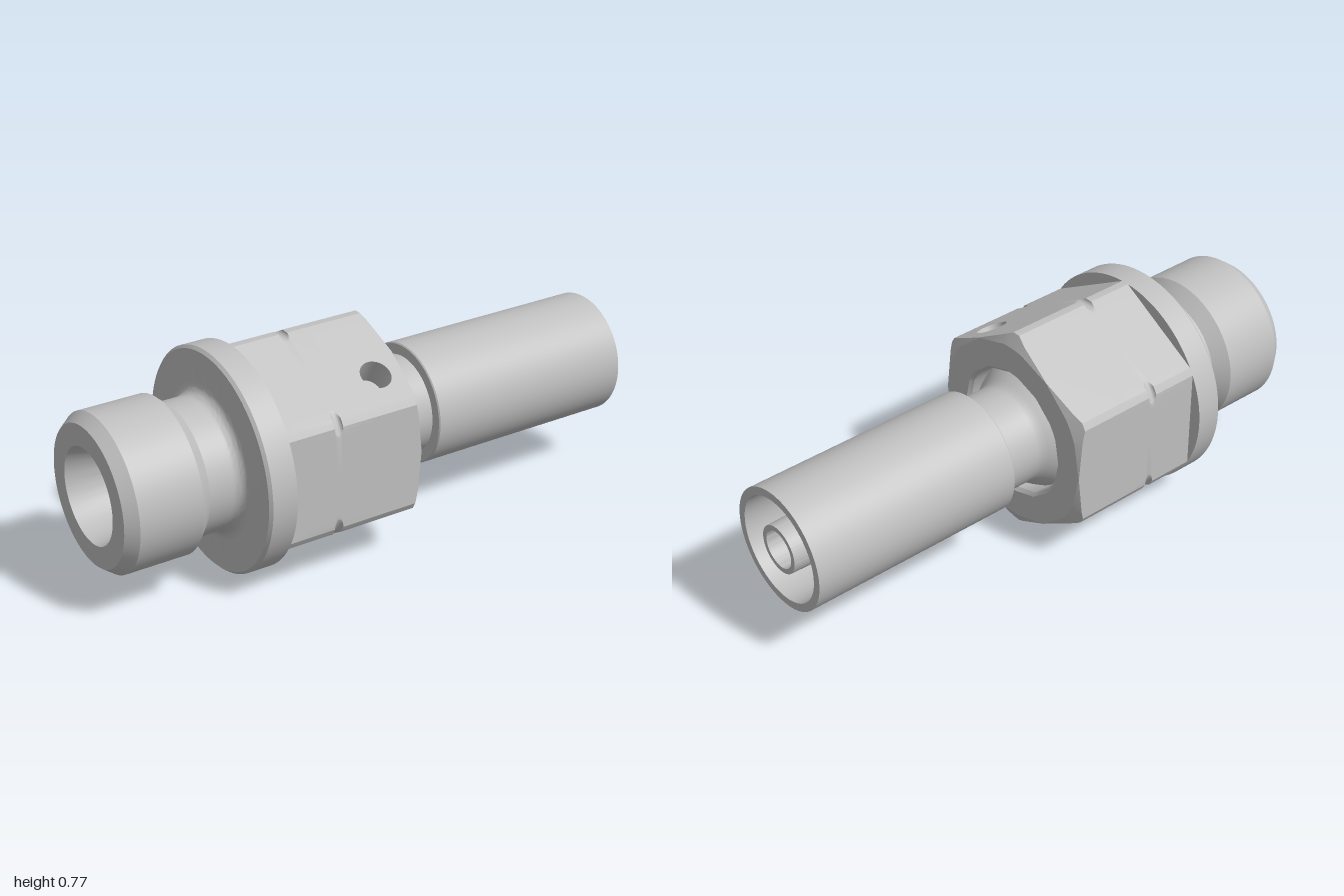
import * as THREE from 'three';
import { toCreasedNormals } from 'three/addons/utils/BufferGeometryUtils.js';

const AXIS_Y = 0.387, FLAT = 0.342, CORNER = 0.387;
const FLANGE_X = -0.465, NUT_X = 0.045, GROOVE_X = -0.28, GROOVE_W = 0.016;
const HOLE = { x: -0.06, t: 0.063, r: 0.054, half: 0.07 };

// Turned part: profile of [x, radius], spun around the x axis
function turned(name, profile, material) {
  const points = profile.map(([x, r]) => new THREE.Vector2(r, x));
  const geometry = new THREE.LatheGeometry(points, 96);
  geometry.rotateZ(-Math.PI / 2);
  const mesh = new THREE.Mesh(toCreasedNormals(geometry, 0.4), material);
  mesh.name = name;
  return mesh;
}

// Limiting radius of the nut, dipping in the round marking groove
function turnedRadius(x) {
  const d = Math.abs(x - GROOVE_X) / GROOVE_W;
  return d < 1 ? CORNER - 0.014 * Math.sqrt(1 - d * d) : CORNER;
}

// Hexagon clipped by a turned surface, with a chamfered end and a bored face
function hexNut(material) {
  const tCorner = Math.sqrt(CORNER ** 2 - FLAT ** 2);
  const side = [tCorner, 0.177, 0.172, 0.167, 0.162, 0.157, 0.149];
  const ts = [...side.map(t => -t), HOLE.t - HOLE.half, HOLE.t + HOLE.half, ...side.slice().reverse()];
  const locals = [-Math.PI / 6, ...ts.map(t => Math.atan(t / FLAT))];

  const columns = [];
  for (let k = 0; k < 6; k++) {
    for (const a of locals) columns.push({ a, angle: Math.PI / 6 + k * Math.PI / 3 + a, k });
  }
  const holeColumn = locals.findIndex(a => Math.abs(a - Math.atan((HOLE.t - HOLE.half) / FLAT)) < 1e-6);

  const xs = [FLANGE_X];
  for (let i = 0; i <= 12; i++) xs.push(GROOVE_X - GROOVE_W * Math.cos(Math.PI * i / 12));
  const holeRow = xs.length;
  xs.push(HOLE.x - HOLE.half, HOLE.x + HOLE.half);

  const rows = xs.map(x => c => [x, Math.min(FLAT / Math.cos(c.a), turnedRadius(x))]);
  rows.push(c => {
    const r = Math.min(FLAT / Math.cos(c.a), CORNER);
    return [NUT_X - (r - FLAT + 0.001) * 0.5, r];
  });
  rows.push(() => [NUT_X, FLAT - 0.001], () => [NUT_X, 0.241], () => [NUT_X - 0.012, 0.229], () => [-0.06, 0.229]);

  const point = (row, c) => {
    const [x, r] = row(c);
    return [x, r * Math.cos(c.angle), r * Math.sin(c.angle)];
  };
  const positions = [];
  for (let i = 0; i < rows.length - 1; i++) {
    for (let j = 0; j < columns.length; j++) {
      if (i === holeRow && j === holeColumn) continue; // left open for the drilled plate
      const c = columns[j], d = columns[(j + 1) % columns.length];
      const p = point(rows[i], c), q = point(rows[i], d);
      const s = point(rows[i + 1], d), u = point(rows[i + 1], c);
      positions.push(...p, ...q, ...s, ...p, ...s, ...u);
    }
  }
  const geometry = new THREE.BufferGeometry();
  geometry.setAttribute('position', new THREE.Float32BufferAttribute(positions, 3));
  const mesh = new THREE.Mesh(toCreasedNormals(geometry, 0.4), material);
  mesh.name = 'hexNut';
  return mesh;
}

// Patch of one flat with a blind drilled hole
function drilledHole(material) {
  const group = new THREE.Group();
  group.name = 'drilledHole';
  const h = HOLE.half;
  const shape = new THREE.Shape([[-h, -h], [h, -h], [h, h], [-h, h]].map(p => new THREE.Vector2(...p)));
  shape.holes.push(new THREE.Path().absarc(0, 0, HOLE.r, 0, Math.PI * 2, true));
  const plate = new THREE.Mesh(new THREE.ShapeGeometry(shape, 24), material);
  plate.name = 'holeSurround';

  const depth = 0.1;
  const wallGeometry = new THREE.CylinderGeometry(HOLE.r, HOLE.r, depth, 48, 1, true);
  wallGeometry.rotateX(Math.PI / 2);
  const wall = new THREE.Mesh(wallGeometry, material);
  wall.name = 'holeWall';
  wall.position.z = -depth / 2;
  const floor = new THREE.Mesh(new THREE.CircleGeometry(HOLE.r, 48), material);
  floor.name = 'holeFloor';
  floor.position.z = -depth;

  group.add(plate, wall, floor);
  group.rotation.x = -Math.PI / 3;
  const n = Math.PI / 6;
  group.position.set(
    HOLE.x,
    FLAT * Math.cos(n) - HOLE.t * Math.sin(n),
    FLAT * Math.sin(n) + HOLE.t * Math.cos(n)
  );
  return group;
}

export function createModel() {
  const steel = new THREE.MeshStandardMaterial({ color: 0xc0c0c0, side: THREE.DoubleSide });
  steel.name = 'steel';

  const model = new THREE.Group();
  model.name = 'hoseFitting';
  const fitting = new THREE.Group();
  fitting.name = 'fitting';
  fitting.position.y = AXIS_Y;
  model.add(fitting);

  // Threaded end with conical seat, undercut, fillet and flange
  const fillet = [];
  for (let i = 0; i <= 8; i++) {
    const a = (i / 8) * Math.PI / 2;
    fillet.push([-0.605 + 0.04 * Math.sin(a), 0.268 - 0.04 * Math.cos(a)]);
  }
  fitting.add(turned('threadedEnd', [
    [-0.5, 0.067], [-0.5, 0.12], [-0.8, 0.12], [-1, 0.165], [-1, 0.24], [-0.96, 0.27], [-0.735, 0.27],
    [-0.69, 0.228], ...fillet, [-0.565, 0.377], [-0.555, CORNER], [FLANGE_X, CORNER], [FLANGE_X, 0.3]
  ], steel));

  fitting.add(hexNut(steel), drilledHole(steel));

  // Neck flaring into the nut, and the crimp sleeve with its tapered socket
  fitting.add(turned('neckAndSleeve', [
    [-0.06, 0.229], [-0.01, 0.222], [0.02, 0.205], [0.042, 0.19], [0.06, 0.179], [0.075, 0.175],
    [0.21, 0.175], [0.21, 0.212], [0.214, 0.216], [1, 0.216], [1, 0.187], [0.35, 0.163], [0.35, 0.1]
  ], steel));

  // Inner nipple and the through bore
  fitting.add(turned('nipple', [
    [0.35, 0.105], [1, 0.085], [1, 0.067], [-0.5, 0.067]
  ], steel));

  return model;
}
